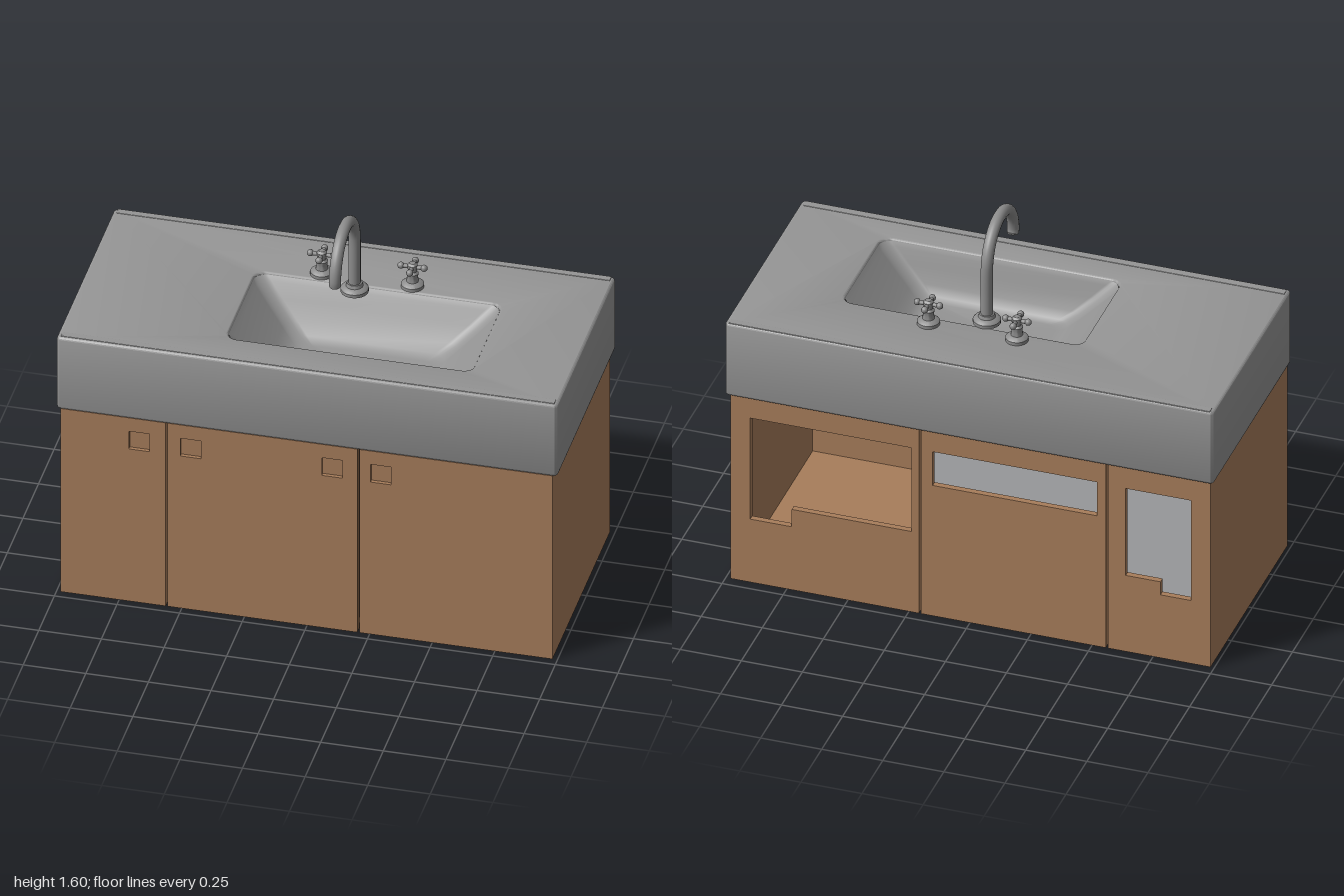
import * as THREE from 'three';
import { RoundedBoxGeometry } from 'three/addons/geometries/RoundedBoxGeometry.js';
import { toCreasedNormals } from 'three/addons/utils/BufferGeometryUtils.js';

const material = (name, color, side = THREE.FrontSide) => {
  const m = new THREE.MeshStandardMaterial({ color, side });
  m.name = name;
  return m;
};

export function createModel() {
  const model = new THREE.Group();
  model.name = 'washstand';
  const wood = material('wood', 0xa87d5b);
  const stone = material('stone grey', 0x959595, THREE.DoubleSide);
  const metal = material('metal grey', 0x8c8c8c);
  const liner = material('liner grey', 0xb4b6b8, THREE.DoubleSide);
  const dark = material('seam dark', 0x2a211b);
  const rubble = material('chunk grey', 0x6c6c6c);

  const add = (name, geo, mat, x = 0, y = 0, z = 0, parent = model) => {
    const mesh = new THREE.Mesh(geo, mat);
    mesh.name = name;
    mesh.position.set(x, y, z);
    parent.add(mesh);
    return mesh;
  };
  // Box given by its limits on each axis
  const slab = (name, x0, x1, y0, y1, z0, z1, mat = wood) =>
    add(name, new THREE.BoxGeometry(x1 - x0, y1 - y0, z1 - z0), mat,
      (x0 + x1) / 2, (y0 + y1) / 2, (z0 + z1) / 2);
  const polygon = (pts, Type = THREE.Shape) => new Type(pts.map(p => new THREE.Vector2(...p)));
  const rect = (x0, x1, y0, y1) => [[x0, y0], [x1, y0], [x1, y1], [x0, y1]];
  // Upright board with cut-outs
  const board = (name, x0, x1, holes, z, depth) => {
    const s = polygon(rect(x0, x1, 0, 0.85));
    s.holes = holes.map(h => polygon(h, THREE.Path));
    add(name, new THREE.ExtrudeGeometry(s, { depth, bevelEnabled: false }), wood, 0, 0, z);
  };

  // Cabinet shell
  const seams = [-0.56, 0.205];
  const edges = [-0.985, ...seams, 0.98];
  slab('rightSide', -0.985, -0.955, 0, 0.85, -0.43, 0.44);
  slab('leftSide', 0.95, 0.98, 0, 0.85, -0.43, 0.44);
  slab('bottomPanel', -0.955, 0.95, 0.03, 0.05, -0.43, 0.44);
  for (const x of seams) {
    slab('divider', x - 0.015, x + 0.015, 0, 0.85, -0.43, 0.43);
    slab('frontSeam', x - 0.012, x + 0.012, 0.001, 0.85, 0.43, 0.436, dark);
  }

  // Doors with square finger pulls, and back boards with service openings
  const pulls = [[-0.67], [-0.465, 0.1], [0.295]];
  const openings = [
    [[-0.905, 0.29], [-0.78, 0.29], [-0.78, 0.35], [-0.637, 0.35], [-0.637, 0.75], [-0.905, 0.75]],
    rect(-0.52, 0.153, 0.6, 0.755),
    [[0.24, 0.37], [0.73, 0.37], [0.73, 0.29], [0.9, 0.29], [0.9, 0.755], [0.24, 0.755]],
  ];
  for (let i = 0; i < 3; i++) {
    const a = edges[i] + (i > 0 ? 0.004 : 0), b = edges[i + 1] - (i < 2 ? 0.004 : 0);
    board('door', a, b, pulls[i].map(x => rect(x - 0.041, x + 0.041, 0.706, 0.788)), 0.44, 0.025);
    for (const x of pulls[i]) slab('pullRecess', x - 0.045, x + 0.045, 0.7, 0.794, 0.441, 0.45);
    board('backBoard', a, b, [openings[i]], -0.455, 0.025);
  }
  slab('middleLiner', -0.54, 0.188, 0.06, 0.84, -0.405, -0.4, liner);
  slab('rightLiner', -0.95, -0.578, 0.06, 0.84, -0.405, -0.4, liner);

  // Loose chunks clinging under the bottom panel
  const chunks = [[0.75, 0], [0.7, -0.08], [0.57, -0.06], [0.57, 0.22], [0.66, 0.32], [0.63, -0.33],
    [0.58, -0.34], [0.28, -0.01], [0.04, 0.22], [-0.09, 0], [-0.14, -0.31], [-0.34, 0.15],
    [-0.37, 0.11], [-0.44, -0.07], [-0.45, -0.01], [-0.64, 0.03], [-0.69, -0.05], [-0.75, -0.1],
    [-0.38, -0.26], [-0.51, 0.32]];
  chunks.forEach(([x, z], i) => {
    const r = 0.024 + 0.009 * Math.sin(i * 2.3);
    const g = new THREE.CylinderGeometry(r, r * 1.15, 0.025, 5 + i % 2).toNonIndexed();
    g.computeVertexNormals();
    add('chunk', g, rubble, x, 0.018, z).rotation.y = i * 1.7;
  });

  // Rounded rectangle outline in x and z, as a loop of points
  const outline = (x0, x1, z0, z1, r) => {
    const pts = [];
    [[x1 - r, z1 - r], [x0 + r, z1 - r], [x0 + r, z0 + r], [x1 - r, z0 + r]].forEach(([cx, cz], q) => {
      for (let k = 0; k <= 6; k++) {
        const a = (q + k / 6) * Math.PI / 2;
        pts.push([cx + r * Math.cos(a), cz + r * Math.sin(a)]);
      }
    });
    return pts;
  };

  // Stone counter with the basin opening
  const e = 0.01;
  const top = polygon(outline(-1 + e, 1 - e, -0.47 + e, 0.47 - e, 0.008));
  top.holes.push(polygon(outline(-0.36 - e, 0.62 + e, -0.17 - e, 0.31 + e, 0.05), THREE.Path));
  const counterGeo = new THREE.ExtrudeGeometry(top,
    { depth: 0.33 - 2 * e, bevelSize: e, bevelThickness: e, bevelSegments: 3 });
  counterGeo.rotateX(Math.PI / 2);
  add('counter', toCreasedNormals(counterGeo, 0.7), stone, 0, 1.18 - e, 0);

  // Basin lofted from shrinking outlines: x0, x1, z0, z1, corner radius, height
  const rings = [
    [-0.36, 0.62, -0.17, 0.31, 0.045, 1.172], [-0.345, 0.605, -0.155, 0.302, 0.05, 1.155],
    [-0.29, 0.55, -0.12, 0.285, 0.05, 1.1], [-0.22, 0.48, -0.075, 0.262, 0.05, 1.035],
    [-0.175, 0.435, -0.04, 0.24, 0.05, 1.0], [-0.13, 0.4, 0, 0.215, 0.05, 0.985],
    [0.1, 0.16, 0.09, 0.13, 0.01, 0.98]];
  const pos = [], idx = [], n = 28;
  rings.forEach((r, j) => {
    for (const [x, z] of outline(...r.slice(0, 5))) pos.push(x, r[5], z);
    if (j === 0) return;
    for (let k = 0; k < n; k++) {
      const a = (j - 1) * n + k, b = (j - 1) * n + (k + 1) % n;
      idx.push(a, a + n, b, b, a + n, b + n);
    }
  });
  for (let k = 1; k < n - 1; k++) idx.push((rings.length - 1) * n, (rings.length - 1) * n + k + 1, (rings.length - 1) * n + k);
  // Every face is turned to look up into the bowl
  for (let i = 0; i < idx.length; i += 3) {
    const v = [0, 1, 2].map(k => new THREE.Vector3().fromArray(pos, idx[i + k] * 3));
    const up = v[1].sub(v[0]).cross(v[2].sub(v[0])).y;
    if (up < 0) [idx[i + 1], idx[i + 2]] = [idx[i + 2], idx[i + 1]];
  }
  const bowl = new THREE.BufferGeometry();
  bowl.setAttribute('position', new THREE.Float32BufferAttribute(pos, 3));
  bowl.setIndex(idx);
  bowl.computeVertexNormals();
  add('basin', bowl, stone);

  // Faucet: flange, upright and swan neck
  const lathe = pts => toCreasedNormals(new THREE.LatheGeometry(pts.map(p => new THREE.Vector2(...p)), 24), 0.6);
  const faucet = new THREE.Group();
  faucet.name = 'faucet';
  faucet.position.set(0.042, 1.18, -0.13);
  model.add(faucet);
  add('faucetFlange', lathe([[0.055, 0], [0.055, 0.014], [0.048, 0.022], [0.034, 0.026], [0.03, 0.04], [0, 0.04]]), metal, 0, 0, 0, faucet);
  const neck = new THREE.CurvePath();
  const path = [new THREE.Vector3(0, 0.01, 0), new THREE.Vector3(0, 0.12, 0)];
  for (let k = 0; k <= 16; k++) {
    const a = Math.PI * (1 - k / 16 * 1.05) + 0.17 * k / 16;
    path.push(new THREE.Vector3(0, 0.235 + 0.158 * Math.sin(a), 0.158 + 0.158 * Math.cos(a)));
  }
  const last = path[path.length - 1];
  path.push(new THREE.Vector3(0, last.y - 0.012, last.z - 0.003));
  add('swanNeck', new THREE.TubeGeometry(new THREE.CatmullRomCurve3(path), 64, 0.024, 16), metal, 0, 0, 0, faucet);
  const tip = path[path.length - 1];
  add('spoutEnd', new THREE.CylinderGeometry(0.0235, 0.0235, 0.006, 16), metal, 0, tip.y, tip.z, faucet);

  // Cross-shaped taps
  for (const x of [-0.11, 0.252]) {
    const tap = new THREE.Group();
    tap.name = 'tap';
    tap.position.set(x, 1.18, -0.215);
    model.add(tap);
    add('tapStem', lathe([[0.045, 0], [0.045, 0.014], [0.036, 0.022], [0.024, 0.026], [0.021, 0.045],
      [0.024, 0.062], [0.016, 0.07], [0.02, 0.085], [0.02, 0.1], [0.012, 0.108], [0, 0.11]]), metal, 0, 0, 0, tap);
    for (let k = 0; k < 4; k++) {
      const arm = new THREE.Group();
      arm.name = 'tapArm';
      arm.rotation.y = k * Math.PI / 2;
      tap.add(arm);
      add('armBar', new THREE.CylinderGeometry(0.01, 0.008, 0.045, 10), metal, 0.028, 0.09, 0, arm).rotation.z = -Math.PI / 2;
      add('armKnob', new THREE.SphereGeometry(0.014, 12, 8), metal, 0.046, 0.09, 0, arm);
    }
  }

  // Slim raised lips along the counter edges
  for (const z of [-0.45, 0.442])
    add('counterLip', new RoundedBoxGeometry(1.97, 0.006, 0.03, 2, 0.002), stone, 0, 1.179, z);
  return model;
}
